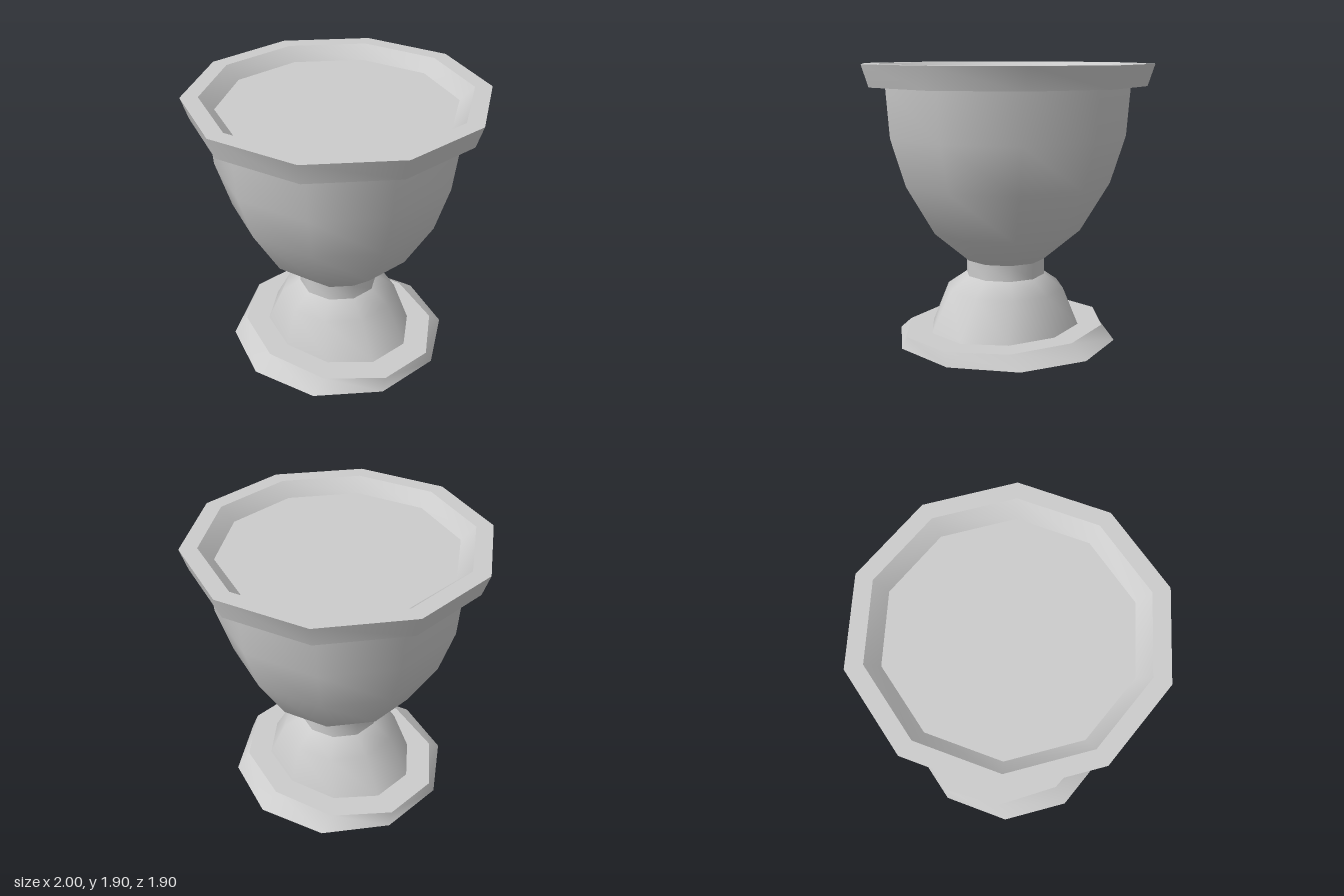
import * as THREE from 'three';
import { mergeVertices } from 'three/addons/utils/BufferGeometryUtils.js';

const SIDES = 10;
const material = new THREE.MeshStandardMaterial({ color: 0xcccccc, side: THREE.DoubleSide });

// Smooth ten-sided ring from [radius, height, optional x squeeze] profile points.
function ring(name, profile) {
  const points = profile.map(([r, y]) => new THREE.Vector2(r, y));
  let geometry = new THREE.LatheGeometry(points, SIDES, Math.PI / 2);
  const pos = geometry.attributes.position;
  for (let i = 0; i < pos.count; i++) {
    const squeeze = profile[i % profile.length][2] ?? 1;
    pos.setX(i, pos.getX(i) * squeeze);
  }
  // weld the seam so the shading runs smoothly all the way round
  geometry.deleteAttribute('uv');
  geometry.deleteAttribute('normal');
  geometry = mergeVertices(geometry, 1e-4);
  geometry.computeVertexNormals();
  const mesh = new THREE.Mesh(geometry, material);
  mesh.name = name;
  return mesh;
}

function group(name, ...parts) {
  const g = new THREE.Group();
  g.name = name;
  g.add(...parts);
  return g;
}

export function createModel() {
  const squeeze = 0.85; // the foot is slightly narrower across x

  // Hollow foot: open skirt, flat ledge and flared pedestal
  const foot = group('foot',
    ring('footSkirt', [[0.77, 0], [0.752, 0.087, squeeze]]),
    ring('footLedge', [[0.752, 0.087, squeeze], [0.568, 0.087, squeeze]]),
    ring('pedestal', [[0.568, 0.087, squeeze], [0.41, 0.355], [0.275, 0.45]]));

  const stem = ring('stem', [[0.275, 0.45], [0.275, 0.56]]);

  const bowl = ring('bowl',
    [[0.275, 0.56], [0.522, 0.77], [0.72, 1.105], [0.82, 1.425], [0.845, 1.755]]);

  // Overhanging rim with a shallow recess
  const rim = group('rim',
    ring('rimUnderside', [[0.845, 1.755], [0.953, 1.755]]),
    ring('rimOuter', [[0.953, 1.755], [1, 1.9]]),
    ring('rimTop', [[1, 1.9], [0.885, 1.9]]),
    ring('rimInner', [[0.885, 1.9], [0.79, 1.812]]));

  const fill = ring('fillSurface', [[0.79, 1.812], [0, 1.812]]);

  return group('urn', foot, stem, bowl, rim, fill);
}
